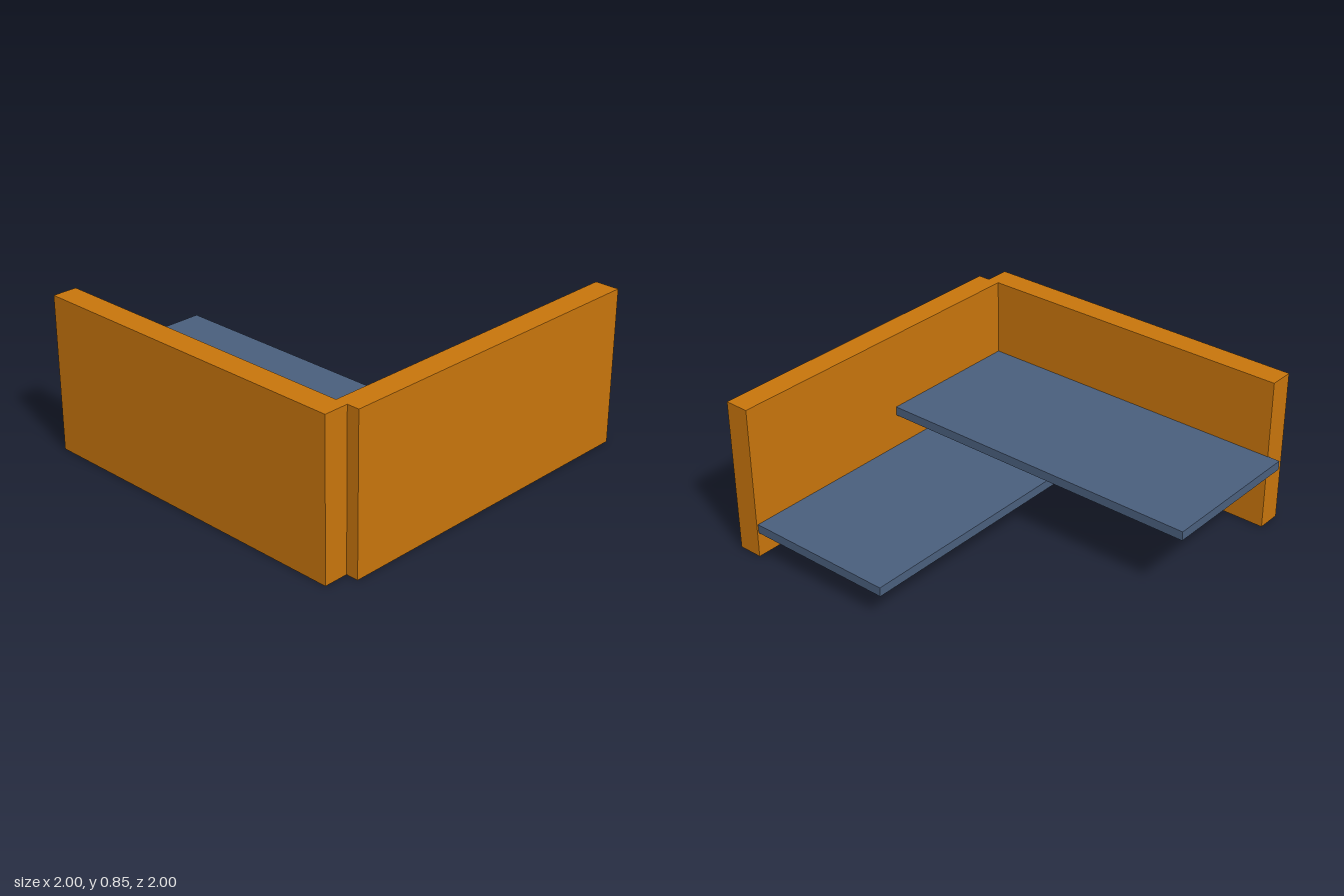
import * as THREE from 'three';

export function createModel() {
  const model = new THREE.Group();

  const orange = new THREE.MeshStandardMaterial({ color: 0xc8750c });
  orange.name = 'orange';
  const slate = new THREE.MeshStandardMaterial({ color: 0x4a5f7d });
  slate.name = 'slate blue';

  // Box given by its extents along each axis
  function slab(name, material, [x0, x1], [y0, y1], [z0, z1]) {
    const mesh = new THREE.Mesh(new THREE.BoxGeometry(x1 - x0, y1 - y0, z1 - z0), material);
    mesh.position.set((x0 + x1) / 2, (y0 + y1) / 2, (z0 + z1) / 2);
    mesh.name = name;
    model.add(mesh);
  }

  // Two upright walls meeting at a corner
  slab('sideWall', orange, [-1, -0.865], [0, 0.85], [-0.933, 0.932]);
  slab('frontWall', orange, [-0.865, 1], [0, 0.85], [0.865, 1]);

  // Two shelves crossing at different heights
  slab('upperShelf', slate, [-0.868, -0.026], [0.375, 0.425], [-1, 0.867]);
  slab('lowerShelf', slate, [-0.868, 0.993], [0.14, 0.19], [0.017, 0.863]);

  return model;
}
